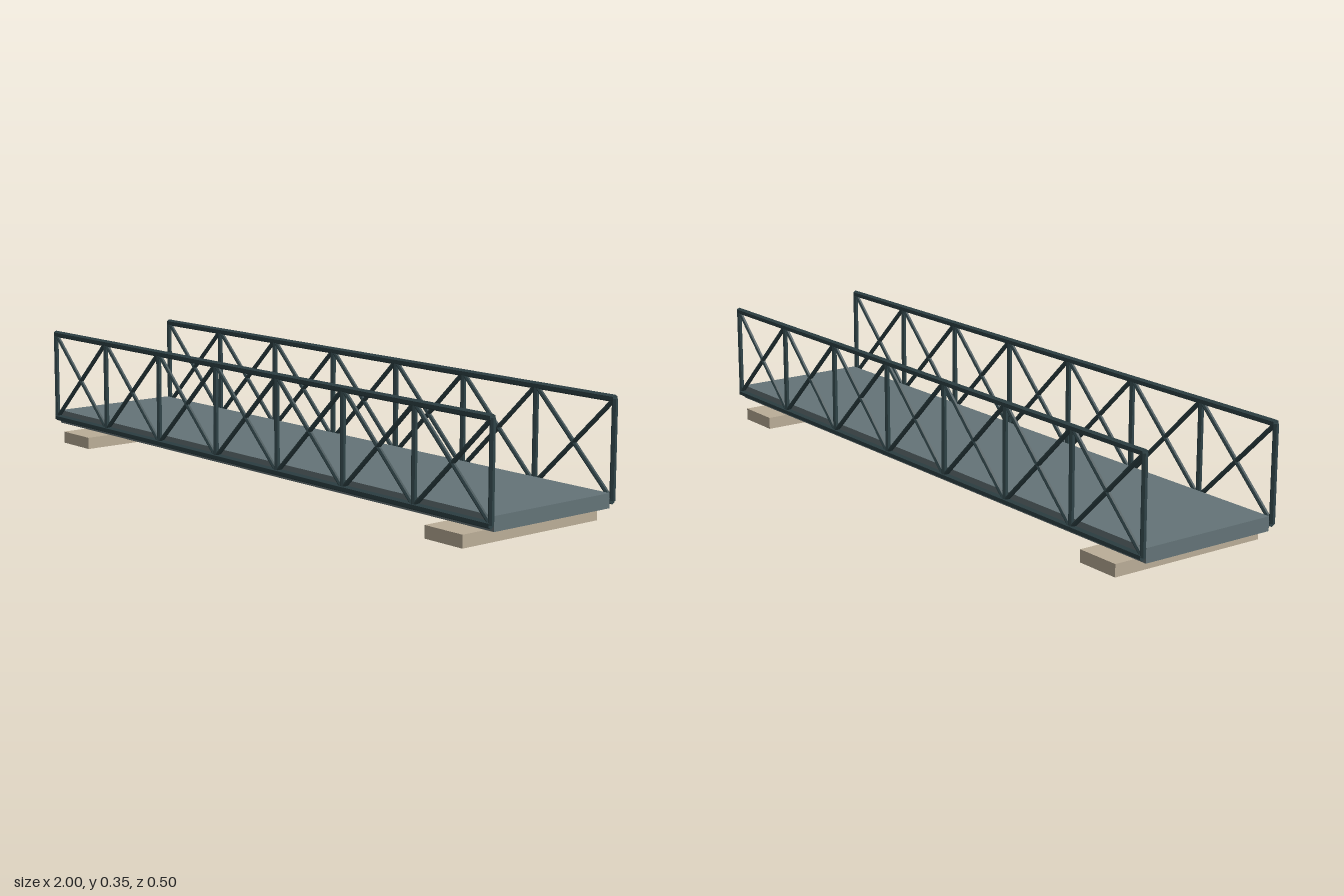
import * as THREE from 'three';

const steel = new THREE.MeshStandardMaterial({ color: 0x2f4347, flatShading: true });
const deckMat = new THREE.MeshStandardMaterial({ color: 0x647478, flatShading: true });
const stone = new THREE.MeshStandardMaterial({ color: 0xbbae98, flatShading: true });

const END = 0.993, LOW = 0.07, HIGH = 0.342, SIDE = 0.223, PANELS = 7;

// Six-sided bar between two points [x, y] of the truss plane
function bar(name, a, b, radius, twist = 0) {
  const from = new THREE.Vector3(a[0], a[1], 0);
  const to = new THREE.Vector3(b[0], b[1], 0);
  const dir = to.clone().sub(from);
  const geometry = new THREE.CylinderGeometry(radius, radius, dir.length(), 6).rotateY(twist);
  const mesh = new THREE.Mesh(geometry, steel);
  mesh.name = name;
  mesh.position.copy(from).add(to).multiplyScalar(0.5);
  mesh.quaternion.setFromUnitVectors(new THREE.Vector3(0, 1, 0), dir.normalize());
  return mesh;
}

function box(name, size, position, material) {
  const mesh = new THREE.Mesh(new THREE.BoxGeometry(...size), material);
  mesh.name = name;
  mesh.position.set(...position);
  return mesh;
}

// One side truss: two chords, posts and crossed braces in every panel
function truss(name, z) {
  const group = new THREE.Group();
  group.name = name;
  group.position.z = z;
  group.add(bar('topChord', [-END, HIGH], [END, HIGH], 0.0102, Math.PI / 6));
  group.add(bar('bottomChord', [-END, LOW], [END, LOW], 0.0102, Math.PI / 6));
  const step = (2 * END) / PANELS;
  for (let i = 0; i <= PANELS; i++) {
    const x = -END + i * step;
    group.add(bar('post', [x, LOW], [x, HIGH], 0.0082));
    if (i === PANELS) break;
    group.add(bar('risingBrace', [x, LOW], [x + step, HIGH], 0.0065));
    group.add(bar('fallingBrace', [x, HIGH], [x + step, LOW], 0.0065));
  }
  return group;
}

export function createModel() {
  const bridge = new THREE.Group();
  bridge.name = 'trussBridge';
  bridge.add(box('deck', [2 * END, 0.041, 0.424], [0, 0.0715, 0], deckMat));
  bridge.add(truss('frontTruss', SIDE), truss('backTruss', -SIDE));
  // Bearing blocks under both ends
  for (const [name, s] of [['leftBearing', 1], ['rightBearing', -1]]) {
    bridge.add(box(name, [0.14, 0.036, 0.496], [s * 0.848, 0.018, 0], stone));
  }
  return bridge;
}
